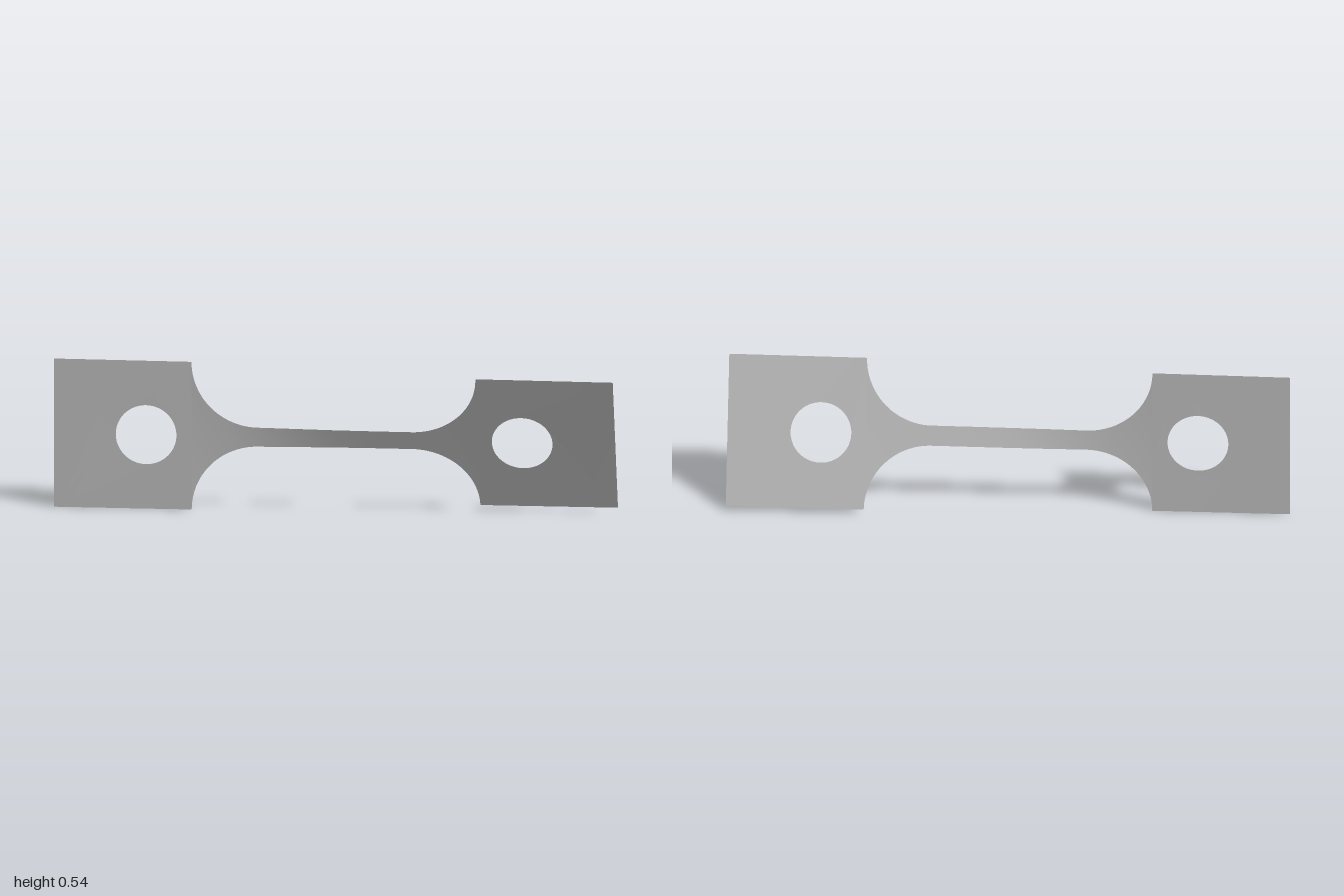
import * as THREE from 'three';

const MID = 0.271;        // height of the twist axis, also half the plate height
const SHOULDER = 0.51;    // x where the end plates begin
const NECK = 0.036;       // half height of the neck
const R = MID - NECK;     // fillet radius

// Twist angle in degrees along x
const TWIST = [[-1, 0.3], [-0.51, 1.1], [-0.38, 3.5], [-0.25, 8], [-0.12, 14], [0, 18.5], [0.15, 20.3], [0.51, 20.9], [1, 21.4]];
function twistAt(x) {
  let i = 0;
  while (i < TWIST.length - 2 && x > TWIST[i + 1][0]) i++;
  const [x0, a0] = TWIST[i], [x1, a1] = TWIST[i + 1];
  return THREE.MathUtils.degToRad(a0 + (a1 - a0) * (x - x0) / (x1 - x0));
}

// Turn every vertex about the long axis, then lift onto the ground
function twist(geometry) {
  const p = geometry.attributes.position;
  for (let i = 0; i < p.count; i++) {
    const a = twistAt(p.getX(i)), h = p.getY(i);
    p.setXYZ(i, p.getX(i), MID + h * Math.cos(a), h * Math.sin(a));
  }
  geometry.computeVertexNormals();
  return geometry;
}

// Square end plate with a round hole
function endPlate(x0, x1, holeX) {
  const shape = new THREE.Shape([[x0, -MID], [x1, -MID], [x1, MID], [x0, MID]].map(p => new THREE.Vector2(...p)));
  shape.holes.push(new THREE.Path().absarc(holeX, 0, 0.108, 0, Math.PI * 2, true));
  return twist(new THREE.ShapeGeometry(shape, 48));
}

// Neck with a quarter-round fillet at both ends
function neckSheet() {
  const half = [];
  for (let i = 0; i <= 24; i++) {
    const t = (i / 24) * Math.PI / 2;
    half.push([-SHOULDER + R * (1 - Math.cos(t)), MID - R * Math.sin(t)]);
  }
  const columns = [...half];
  const inner = SHOULDER - R;
  for (let i = 1; i < 24; i++) columns.push([-inner + 2 * inner * i / 24, NECK]);
  for (const [x, h] of half.slice().reverse()) columns.push([-x, h]);

  const rows = 8;
  const g = new THREE.PlaneGeometry(1, 1, columns.length - 1, rows);
  const p = g.attributes.position;
  for (let r = 0; r <= rows; r++) {
    columns.forEach(([x, h], c) => p.setXYZ(r * columns.length + c, x, h * (1 - 2 * r / rows), 0));
  }
  return twist(g);
}

export function createModel() {
  const steel = new THREE.MeshStandardMaterial({ color: 0xb8b8b8, side: THREE.DoubleSide });
  steel.name = 'steel grey';
  const model = new THREE.Group();
  model.name = 'twistedLinkPlate';
  const add = (name, geometry) => {
    const mesh = new THREE.Mesh(geometry, steel);
    mesh.name = name;
    model.add(mesh);
  };
  add('rightEndPlate', endPlate(-1, -SHOULDER, -0.672));
  add('neck', neckSheet());
  add('leftEndPlate', endPlate(SHOULDER, 1, 0.668));
  return model;
}
